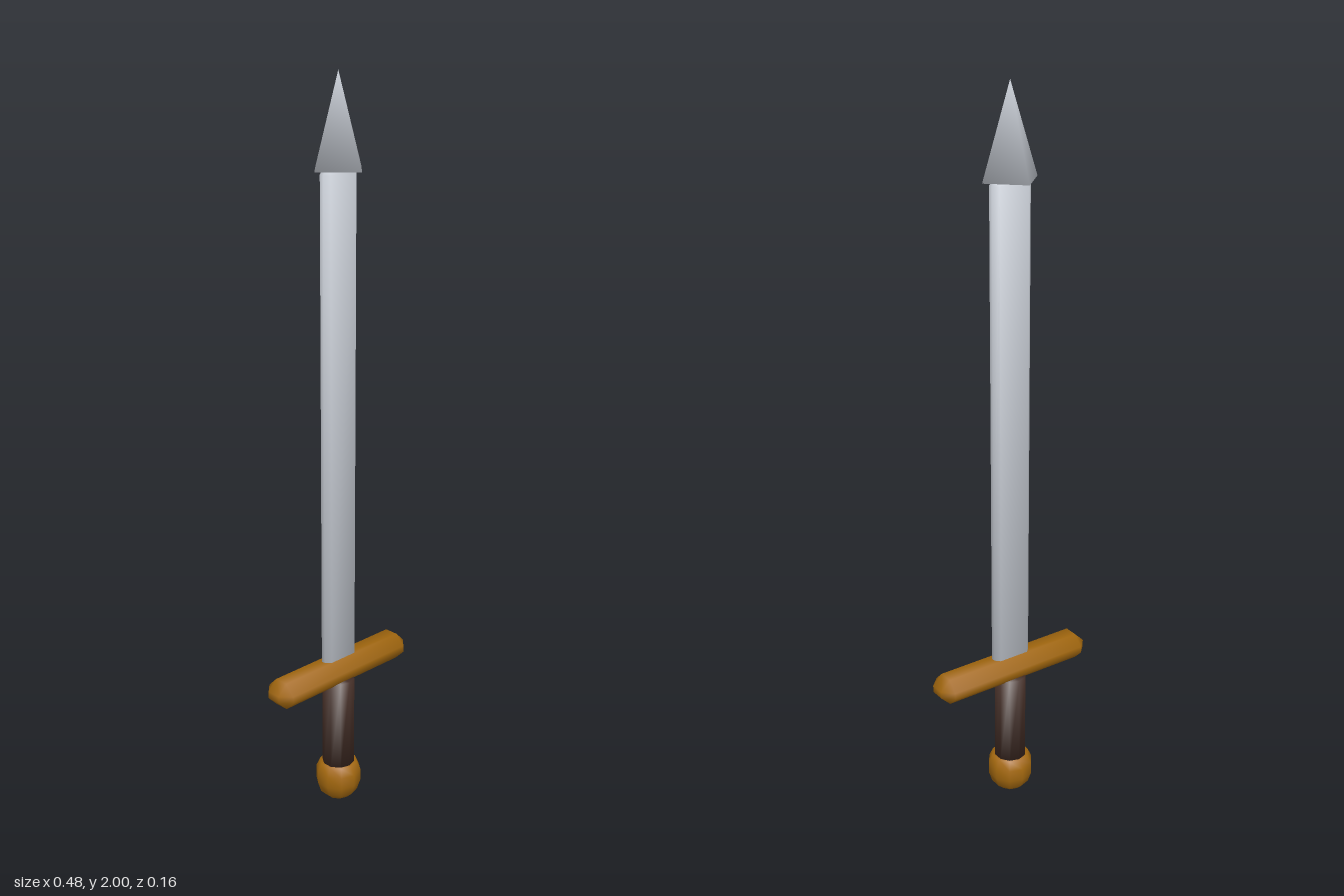
import * as THREE from 'three';
import { mergeVertices } from 'three/addons/utils/BufferGeometryUtils.js';
import { ConvexGeometry } from 'three/addons/geometries/ConvexGeometry.js';

// Weld all vertices and give them angle-weighted smooth normals.
function smooth(geometry) {
  geometry.deleteAttribute('normal');
  geometry.deleteAttribute('uv');
  const g = mergeVertices(geometry, 1e-5);
  const pos = g.attributes.position;
  const sums = Array.from({ length: pos.count }, () => new THREE.Vector3());
  const p = [0, 1, 2].map(() => new THREE.Vector3());
  const a = new THREE.Vector3(), b = new THREE.Vector3(), n = new THREE.Vector3();
  for (let i = 0; i < g.index.count; i += 3) {
    const ids = [0, 1, 2].map((k) => g.index.getX(i + k));
    ids.forEach((id, k) => p[k].fromBufferAttribute(pos, id));
    n.crossVectors(a.subVectors(p[1], p[0]), b.subVectors(p[2], p[0]));
    if (n.length() < 1e-10) continue;
    n.normalize();
    for (let k = 0; k < 3; k++) {
      a.subVectors(p[(k + 1) % 3], p[k]);
      b.subVectors(p[(k + 2) % 3], p[k]);
      sums[ids[k]].addScaledVector(n, a.angleTo(b));
    }
  }
  const normals = new Float32Array(pos.count * 3);
  sums.forEach((v, i) => v.normalize().toArray(normals, i * 3));
  g.setAttribute('normal', new THREE.BufferAttribute(normals, 3));
  return g;
}

// Box with every edge bevelled by c.
function chamferedBox(w, h, d, c) {
  const points = [];
  for (const x of [-w / 2, w / 2])
    for (const y of [-h / 2, h / 2])
      for (const z of [-d / 2, d / 2])
        for (let keep = 0; keep < 3; keep++) {
          const v = [x, y, z].map((s, k) => (k === keep ? s : s - Math.sign(s) * c));
          points.push(new THREE.Vector3(...v));
        }
  return new ConvexGeometry(points);
}

export function createModel() {
  const group = new THREE.Group();
  const material = (name, color) => {
    const m = new THREE.MeshStandardMaterial({ color });
    m.name = name;
    return m;
  };
  const steel = material('steel', 0xc9ced6);
  const bronze = material('bronze', 0xa3680f);
  const leather = material('dark leather', 0x432d25);

  const add = (name, geometry, mat, y) => {
    const mesh = new THREE.Mesh(smooth(geometry), mat);
    mesh.name = name;
    mesh.position.y = y;
    group.add(mesh);
  };

  // Rounded knob at the bottom
  const profile = [[0, 0], [0.034, 0.01], [0.054, 0.029], [0.0635, 0.058],
    [0.0635, 0.092], [0.052, 0.117], [0, 0.117]].map(([x, y]) => new THREE.Vector2(x, y));
  add('pommel', new THREE.LatheGeometry(profile, 10), bronze, 0);

  // Ten-sided handle
  add('grip', new THREE.CylinderGeometry(0.045, 0.045, 0.266, 10), leather, 0.245);

  // Bevelled crossbar
  add('guard', chamferedBox(0.48, 0.075, 0.096, 0.028), bronze, 0.407);

  // Flat blade, its foot sunk into the guard
  add('blade', chamferedBox(0.114, 1.36, 0.038, 0.013), steel, 1.09);

  // Four-sided point
  add('bladeTip', new THREE.ConeGeometry(0.081, 0.235, 4), steel, 1.8825);

  return group;
}
